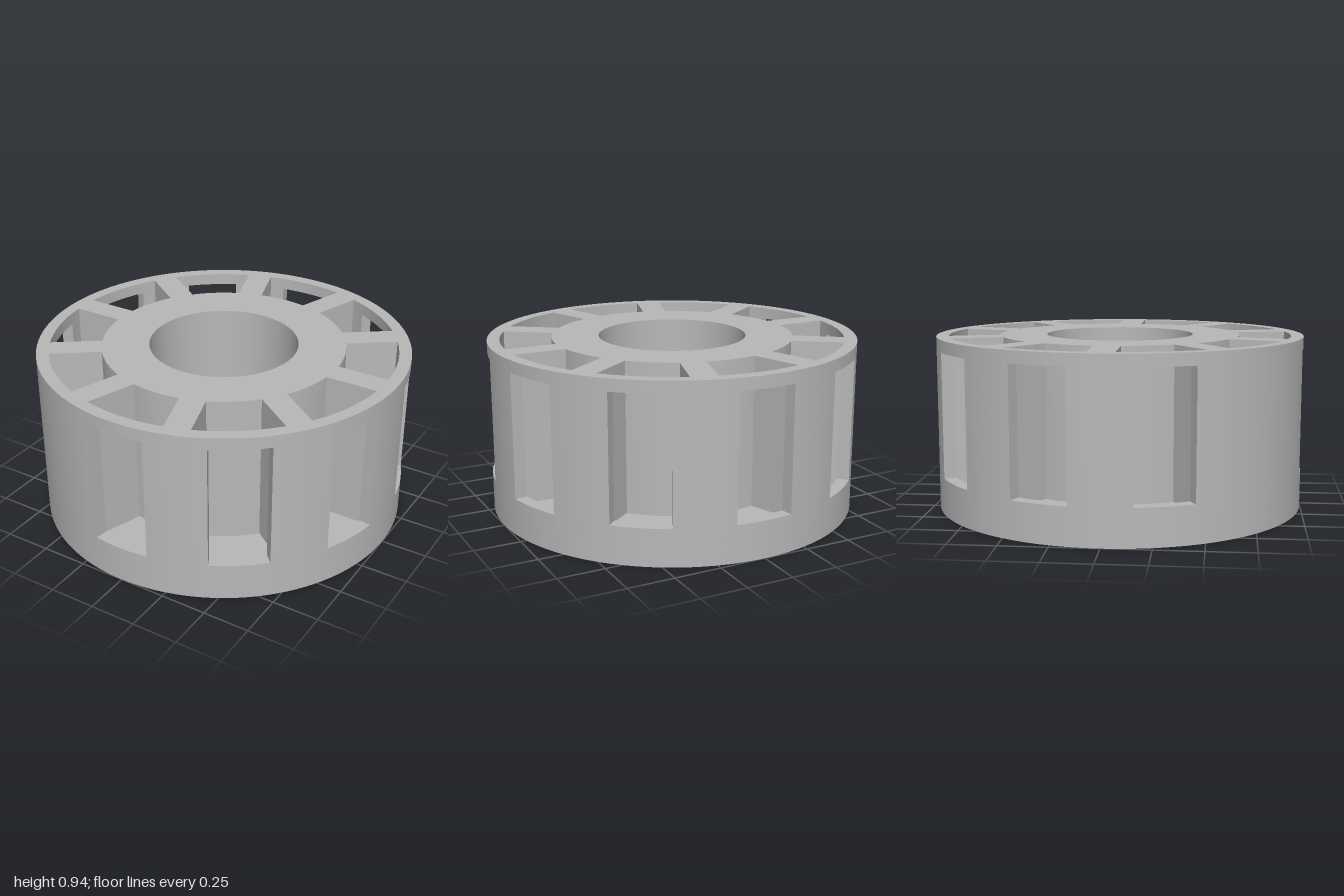
import * as THREE from 'three';
import { toCreasedNormals } from 'three/addons/utils/BufferGeometryUtils.js';

const DEG = Math.PI / 180;
const HEIGHT = 0.935, FLOOR = 0.13, SLOT_DEPTH = 0.065;
const SILL = 0.2, LINTEL = 0.87;
const R_OUT = 1, R_WALL = 0.933, R_HUB = 0.655, R_BORE = 0.4, R_PIN = 0.035;
const HALF_SPOKE = 0.068, HALF_WINDOW = 8.9;
const COUNT = 10, STEP = 360 / COUNT, OPEN_POCKET = 4;

// points along an arc, angles in degrees
function arc(r, from, to, n = 8, cx = 0) {
  return Array.from({ length: n + 1 }, (_, i) => {
    const a = (from + (to - from) * i / n) * DEG;
    return new THREE.Vector2(cx + r * Math.cos(a), r * Math.sin(a));
  });
}
const circle = (r, n) => arc(r, 0, 360, n).slice(0, -1);

// half angle of a pocket at a radius: spokes keep a constant thickness
const pocketHalf = (r) => STEP / 2 - Math.asin(HALF_SPOKE / r) / DEG;
const pocketAngle = (k) => 90 + k * STEP;

// closed pocket outline
function pocket(a) {
  const o = pocketHalf(R_WALL), h = pocketHalf(R_HUB);
  return [...arc(R_WALL, a - o, a + o, 12), ...arc(R_HUB, a + h, a - h, 12)];
}

// horizontal slab between two heights, with holes
function slab(name, material, outline, holes, y0, y1) {
  const shape = new THREE.Shape(outline);
  shape.holes = holes.map((h) => new THREE.Path(h));
  let geo = new THREE.ExtrudeGeometry(shape, { depth: y1 - y0, bevelEnabled: false });
  geo.rotateX(-Math.PI / 2);
  geo.translate(0, y0, 0);
  geo = toCreasedNormals(geo, 25 * DEG);
  const mesh = new THREE.Mesh(geo, material);
  mesh.name = name;
  return mesh;
}

export function createModel() {
  const group = new THREE.Group();
  group.name = 'carousel';
  const grey = new THREE.MeshStandardMaterial({ color: 0xb8b8b8 });
  grey.name = 'grey';

  const through = pocket(pocketAngle(OPEN_POCKET));

  // floor: lower half has the drive slot, upper half only the pin hole
  const slot = [...arc(R_PIN, -90, 90, 10, 0.2), ...arc(R_PIN, 90, 270, 10, -0.2)];
  group.add(slab('slottedFloor', grey, circle(R_OUT, 160), [slot, through], 0, SLOT_DEPTH));
  group.add(slab('upperFloor', grey, circle(R_OUT, 160), [circle(R_PIN, 24), through], SLOT_DEPTH, FLOOR));

  // hub, spokes and wall panels: one outline that runs into each windowed pocket
  const outline = [];
  const o = pocketHalf(R_WALL), h = pocketHalf(R_HUB), w = HALF_WINDOW;
  for (let k = 0; k < COUNT; k++) {
    const a = pocketAngle(k), half = STEP / 2;
    if (k === OPEN_POCKET) {
      outline.push(...arc(R_OUT, a - half, a + half, 16).slice(0, -1));
      continue;
    }
    outline.push(
      ...arc(R_OUT, a - half, a - w, 4),
      ...arc(R_WALL, a - w, a - o, 3),
      ...arc(R_HUB, a - h, a + h, 12),
      ...arc(R_WALL, a + o, a + w, 3),
      ...arc(R_OUT, a + w, a + half, 4).slice(0, -1),
    );
  }
  group.add(slab('hubAndSpokes', grey, outline, [circle(R_BORE, 96), through], FLOOR, HEIGHT));

  // wall strips under and over each window
  for (let k = 0; k < COUNT; k++) {
    if (k === OPEN_POCKET) continue;
    const a = pocketAngle(k);
    const strip = [...arc(R_OUT, a - w, a + w), ...arc(R_WALL, a + w, a - w)];
    group.add(slab('windowSill', grey, strip, [], FLOOR, SILL));
    group.add(slab('windowLintel', grey, strip, [], LINTEL, HEIGHT));
  }
  return group;
}
